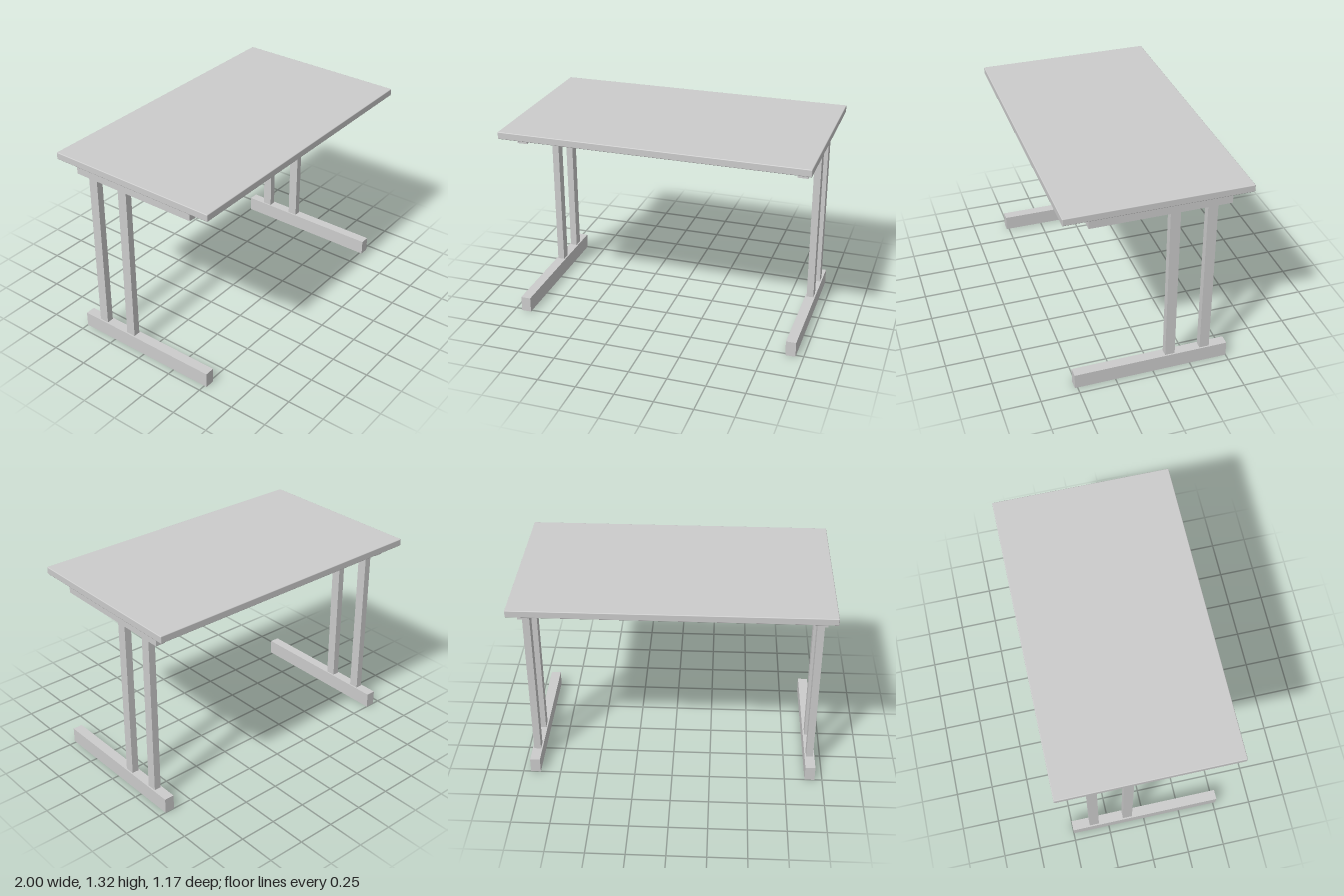
import * as THREE from 'three';
import { RoundedBoxGeometry } from 'three/addons/geometries/RoundedBoxGeometry.js';

export function createModel() {
  const model = new THREE.Group();
  model.name = 'desk';
  const material = new THREE.MeshStandardMaterial({ color: 0xcccccc });

  const addPart = (parent, name, geometry, x, y, z) => {
    const mesh = new THREE.Mesh(geometry, material);
    mesh.name = name;
    mesh.position.set(x, y, z);
    parent.add(mesh);
  };

  // Box spanning y0..y1 and z0..z1, centred on the frame's own x = 0
  const addBar = (parent, name, width, y0, y1, z0, z1) =>
    addPart(parent, name, new THREE.BoxGeometry(width, y1 - y0, z1 - z0), 0, (y0 + y1) / 2, (z0 + z1) / 2);

  // Table top with softly eased edges
  const topY = 1.317, underside = 1.27, railY = 1.186, footY = 0.102;
  addPart(model, 'tableTop', new RoundedBoxGeometry(2, topY - underside, 1.168, 2, 0.005),
    0, (topY + underside) / 2, 0);

  // Two matching leg frames: foot, pair of posts set to the back, support rail
  for (const [name, side] of [['leftLegFrame', 1], ['rightLegFrame', -1]]) {
    const frame = new THREE.Group();
    frame.name = name;
    frame.position.x = side * 0.917;
    addBar(frame, 'foot', 0.066, 0, footY, -0.5, 0.518);
    addBar(frame, 'frontPost', 0.046, footY, railY, -0.148, -0.084);
    addBar(frame, 'backPost', 0.046, footY, railY, -0.382, -0.318);
    addBar(frame, 'supportRail', 0.066, railY, underside, -0.469, 0.416);
    model.add(frame);
  }
  return model;
}
